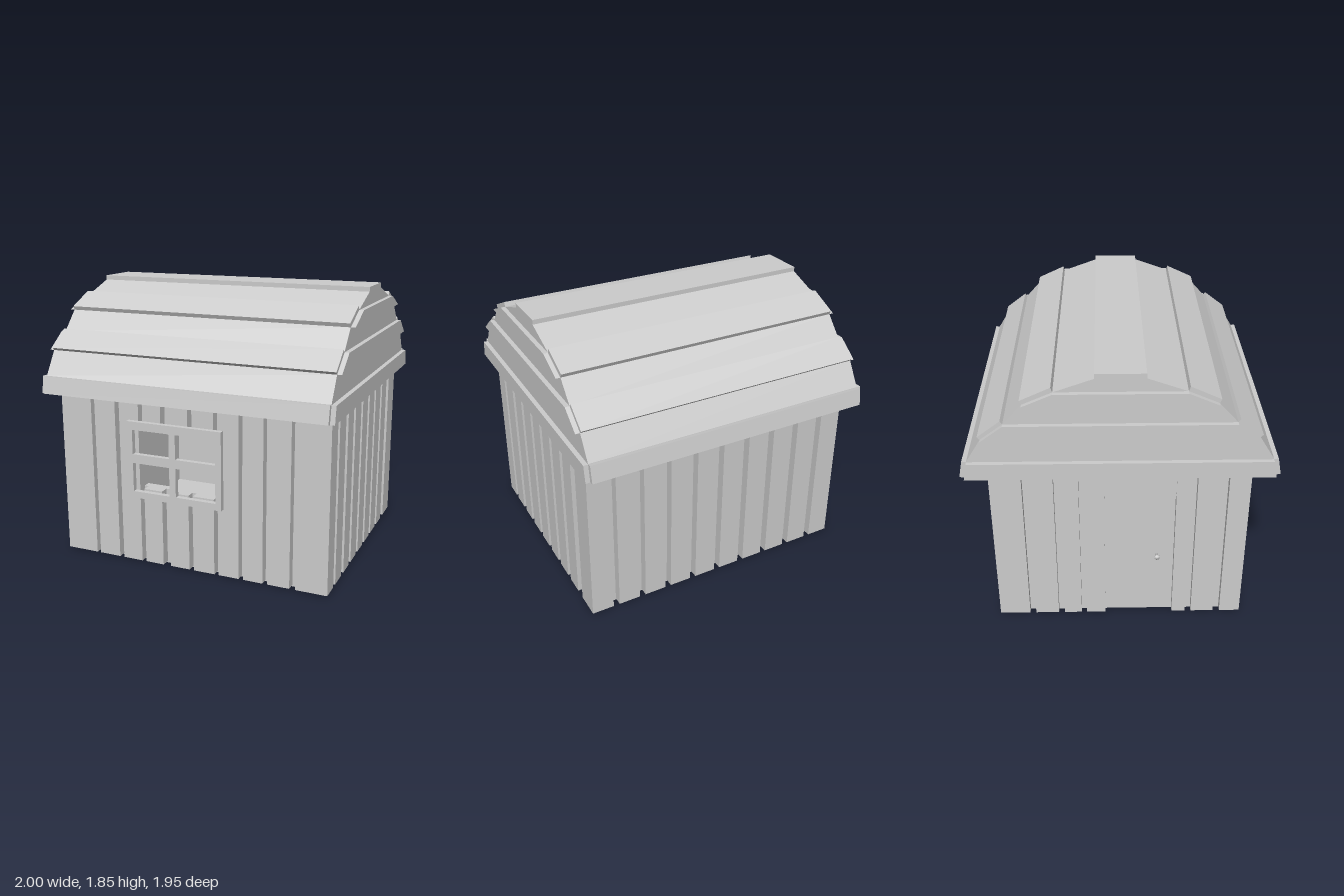
import * as THREE from 'three';

const timber = new THREE.MeshStandardMaterial({ color: 0xcccccc });
timber.name = 'timber grey';

function add(parent, name, geometry) {
  const mesh = new THREE.Mesh(geometry, timber);
  mesh.name = name;
  parent.add(mesh);
  return mesh;
}

// Box given by its minimum and maximum on each axis
function box(parent, name, x0, x1, y0, y1, z0, z1) {
  const mesh = add(parent, name, new THREE.BoxGeometry(x1 - x0, y1 - y0, z1 - z0));
  mesh.position.set((x0 + x1) / 2, (y0 + y1) / 2, (z0 + z1) / 2);
  return mesh;
}

function rect(Type, x0, x1, y0, y1) {
  return new Type([[x0, y0], [x1, y0], [x1, y1], [x0, y1]].map(p => new THREE.Vector2(...p)));
}

// Flat panel with rectangular openings, facing z
function panel(parent, name, outer, holes, z0, z1) {
  const shape = rect(THREE.Shape, ...outer);
  shape.holes = holes.map(h => rect(THREE.Path, ...h));
  const mesh = add(parent, name, new THREE.ExtrudeGeometry(shape, { depth: z1 - z0, bevelEnabled: false }));
  mesh.position.z = z0;
  return mesh;
}

// Profile in (z, y) swept along x to plus and minus halfLength
function sweep(parent, name, points, halfLength) {
  const shape = new THREE.Shape(points.map(p => new THREE.Vector2(-p[0], p[1])));
  const g = new THREE.ExtrudeGeometry(shape, { depth: halfLength * 2, bevelEnabled: false });
  g.translate(0, 0, -halfLength).rotateY(Math.PI / 2);
  return add(parent, name, g);
}

const mirror = half => [...half, ...half.map(([z, y]) => [-z, y]).reverse()];

export function createModel() {
  const model = new THREE.Group();
  model.name = 'shed';

  // Inner walls and floor
  const opening = [-0.36, 0.205, 0.53, 0.935];
  const walls = new THREE.Group();
  walls.name = 'walls';
  model.add(walls);
  box(walls, 'floor', -0.9, 0.9, 0, 0.03, -0.75, 0.75);
  panel(walls, 'frontWall', [-0.9, 0.9, 0.01, 1.16], [opening], 0.7, 0.75);
  box(walls, 'backWall', -0.9, 0.9, 0.01, 1.16, -0.75, -0.7);
  for (const s of [-1, 1]) {
    const a = s * 0.875;
    box(walls, 'sideWall', a - 0.025, a + 0.025, 0.01, 1.16, -0.7, 0.7);
  }

  // Upright cladding boards
  const boards = new THREE.Group();
  boards.name = 'claddingBoards';
  model.add(boards);
  const front = [[-0.945, -0.717], [-0.69, -0.535], [-0.503, -0.36], [-0.33, -0.198], [-0.144, -0.005],
    [0.027, 0.176], [0.205, 0.348], [0.38, 0.513], [0.545, 0.695], [0.733, 0.945]];
  for (const [a, b] of front) {
    if (a > -0.35 && b < 0.2) {
      box(boards, 'frontBoardBelowWindow', a, b, 0.01, opening[2], 0.75, 0.81);
      box(boards, 'frontBoardAboveWindow', a, b, opening[3], 1.12, 0.75, 0.81);
    } else box(boards, 'frontBoard', a, b, 0.01, 1.12, 0.75, 0.81);
  }
  for (let i = 0; i < 10; i++) {
    const a = -0.945 + i * 0.1933;
    box(boards, 'backBoard', a, a + 0.15, 0.01, 1.12, -0.81, -0.75);
  }
  const right = [[0.683, 0.81], [0.505, 0.64], [0.327, 0.453], [0.144, 0.28], [-0.03, 0.1],
    [-0.207, -0.076], [-0.385, -0.25], [-0.563, -0.432], [-0.81, -0.636]];
  for (const [a, b] of right) box(boards, 'leftSideBoard', 0.9, 0.945, 0.01, 1.12, a, b);
  const doorSide = [[-0.81, -0.61], [-0.57, -0.415], [-0.375, -0.26], [-0.225, -0.1],
    [0.35, 0.44], [0.48, 0.63], [0.675, 0.81]];
  for (const [a, b] of doorSide) box(boards, 'doorSideBoard', -0.945, -0.9, 0.01, 1.12, a, b);

  // Door with lintel and knob
  const door = new THREE.Group();
  door.name = 'door';
  model.add(door);
  box(door, 'doorPanel', -0.92, -0.9, 0.02, 0.97, -0.09, 0.34);
  box(door, 'doorLintel', -0.94, -0.9, 0.975, 1.12, -0.1, 0.35);
  const knob = add(door, 'doorKnob', new THREE.LatheGeometry(
    [[0, 0], [0.008, 0], [0.008, 0.02], [0.018, 0.028], [0.018, 0.036], [0, 0.042]]
      .map(p => new THREE.Vector2(...p)), 10));
  knob.rotation.z = Math.PI / 2;
  knob.position.set(-0.92, 0.49, 0.24);

  // Four-pane window frame
  panel(model, 'windowFrame', [-0.42, 0.25, 0.48, 1.0], [
    [-0.38, -0.115, 0.525, 0.72], [-0.07, 0.21, 0.525, 0.72],
    [-0.38, -0.115, 0.78, 0.945], [-0.07, 0.21, 0.78, 0.945]], 0.825, 0.86);

  // Barrel roof body
  const roof = new THREE.Group();
  roof.name = 'roof';
  model.add(roof);
  sweep(roof, 'roofBody', mirror([[0.945, 1.15], [0.925, 1.265], [0.83, 1.42], [0.69, 1.525],
    [0.573, 1.655], [0.39, 1.735], [0.15, 1.82]]), 0.97);
  box(roof, 'ridgeBoard', -0.97, 0.97, 1.81, 1.85, -0.15, 0.15);

  // Raised boards along each slope, and matching bands across the gables
  const strips = [
    [[0.945, 1.15], [0.975, 1.155], [0.953, 1.268], [0.925, 1.262]],
    [[0.83, 1.42], [0.847, 1.437], [0.705, 1.545], [0.69, 1.525]],
    [[0.573, 1.655], [0.585, 1.68], [0.4, 1.765], [0.39, 1.735]]];
  for (const strip of strips) {
    for (const s of [1, -1]) sweep(roof, 'roofBoard', strip.map(([z, y]) => [s * z, y]), 0.97);
    sweep(roof, 'gableBand', mirror([strip[0], strip[3]]), 1.0);
  }
  return model;
}
